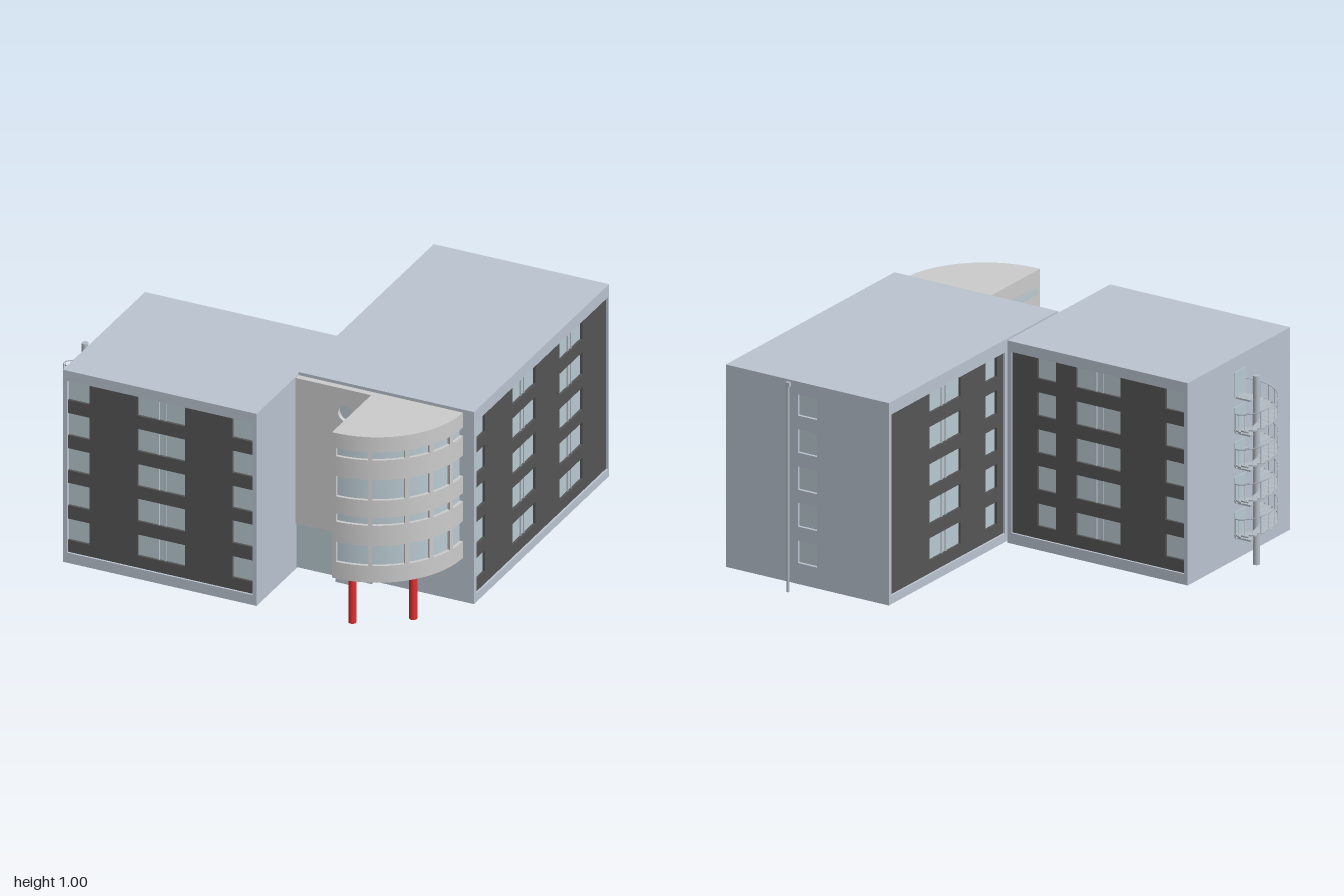
import * as THREE from 'three';
import { mergeGeometries, toCreasedNormals } from 'three/addons/utils/BufferGeometryUtils.js';

const mat = (color, side = THREE.FrontSide) => new THREE.MeshStandardMaterial({ color, side });
const WALL = mat(0xbac4d0), CONCRETE = mat(0xcccccc), DARK = mat(0x555555),
  GLASS = mat(0xb9cad2), RED = mat(0xe03030), STEEL = mat(0xb4bcc4, THREE.DoubleSide);

// Window rows shared by all long facades: [bottom, top]
const ROWS = [[0.144, 0.25], [0.316, 0.428], [0.49, 0.6], [0.665, 0.775], [0.84, 0.94]];
const PANEL_Y = [0.085, 0.94];

function add(parent, name, geometry, material) {
  const mesh = new THREE.Mesh(geometry, material);
  mesh.name = name;
  parent.add(mesh);
  return mesh;
}

// Box given by its limits on each axis
function boxGeo(x0, x1, y0, y1, z0, z1) {
  return new THREE.BoxGeometry(x1 - x0, y1 - y0, z1 - z0)
    .translate((x0 + x1) / 2, (y0 + y1) / 2, (z0 + z1) / 2);
}

function rectPath(Type, x0, x1, y0, y1) {
  return new Type([[x0, y0], [x1, y0], [x1, y1], [x0, y1]].map(p => new THREE.Vector2(...p)));
}

// Upright slab with holes; its outer face lies on z = 0
function slabGeo(x0, x1, y0, y1, depth, holes) {
  const shape = rectPath(THREE.Shape, x0, x1, y0, y1);
  shape.holes.push(...holes);
  return new THREE.ExtrudeGeometry(shape, { depth, bevelEnabled: false, curveSegments: 16 })
    .translate(0, 0, -depth);
}

// Recessed dark facade with a rim, bands, piers, glass and mullions, facing local +z
function facade(name, outer, yRange, panel, windows) {
  const g = new THREE.Group();
  g.name = name;
  const [p0, p1] = panel;
  add(g, 'facadeRim', slabGeo(...outer, ...yRange, 0.025, [rectPath(THREE.Path, p0, p1, ...PANEL_Y)]), WALL);
  add(g, 'glazing', boxGeo(p0, p1, ...PANEL_Y, -0.03, -0.022), GLASS);
  const dark = [], mullions = [];
  let below = PANEL_Y[0];
  for (const [y0, y1] of ROWS) {
    dark.push(boxGeo(p0, p1, below, y0, -0.025, -0.01));
    below = y1;
    let u = p0;
    for (const [w0, w1] of windows) {
      if (w0 - u > 0.001) dark.push(boxGeo(u, w0, y0, y1, -0.025, -0.01));
      u = w1;
      const mid = (w0 + w1) / 2;
      if (w1 - w0 > 0.15) for (const s of [-0.016, 0.016])
        mullions.push(boxGeo(mid + s - 0.003, mid + s + 0.003, y0, y1, -0.025, -0.016));
    }
    if (p1 - u > 0.001) dark.push(boxGeo(u, p1, y0, y1, -0.025, -0.01));
  }
  add(g, 'darkCladding', mergeGeometries(dark), DARK);
  add(g, 'mullions', mergeGeometries(mullions), WALL);
  return g;
}

function placed(parent, group, x, z, turn) {
  group.position.set(x, 0, z);
  group.rotation.y = turn;
  parent.add(group);
}

function sideWing() {
  const g = new THREE.Group();
  g.name = 'sideWing';
  const y = [0.035, 0.99];
  add(g, 'wingBody', boxGeo(-0.81, 0.14, ...y, 0.095, 0.865), WALL);
  placed(g, facade('wingFrontFacade', [-0.81, 0.14], y, [-0.79, 0.12],
    [[-0.79, -0.685], [-0.45, -0.215], [0.015, 0.12]]), 0, 0.89, 0);
  placed(g, facade('wingBackFacade', [-0.14, 0.81], y, [-0.12, 0.79],
    [[0.01, 0.11], [0.215, 0.45], [0.685, 0.79]]), 0, 0.07, Math.PI);
  return g;
}

function mainWing() {
  const g = new THREE.Group();
  g.name = 'mainWing';
  const y = [0.045, 1];
  add(g, 'mainBody', boxGeo(0.165, 0.975, ...y, -0.86, 0.47), WALL);
  placed(g, facade('outerFacade', [-0.47, 0.88], y, [-0.445, 0.87],
    [[-0.445, -0.34], [-0.065, 0.165], [0.405, 0.635]]), 1, 0, Math.PI / 2);
  placed(g, facade('courtFacade', [-0.88, 0.47], y, [-0.86, 0.05],
    [[-0.54, -0.29], [-0.09, 0.0]]), 0.14, 0, -Math.PI / 2);
  // Back wall with one column of windows and a rain pipe
  const back = new THREE.Group();
  back.name = 'backWall';
  add(back, 'backSlab', slabGeo(-0.975, -0.165, ...y, 0.02,
    ROWS.map(r => rectPath(THREE.Path, -0.62, -0.52, ...r))), WALL);
  for (const [y0, y1] of ROWS) add(back, 'backWindow', boxGeo(-0.62, -0.52, y0, y1, -0.022, -0.014), GLASS);
  placed(g, back, 0, -0.88, Math.PI);
  add(g, 'rainPipe', new THREE.CylinderGeometry(0.006, 0.006, 0.98, 10), STEEL).position.set(0.667, 0.49, -0.887);
  add(g, 'pipeHead', boxGeo(0.657, 0.677, 0.97, 0.99, -0.895, -0.88), STEEL);
  return g;
}

function entrance() {
  const g = new THREE.Group();
  g.name = 'entrance';
  const holes = [0.39, 0.548, 0.705, 0.863].map(y => new THREE.Path().absarc(0.388, y, 0.04, 0, Math.PI * 2));
  add(g, 'concreteWall', slabGeo(0.14, 0.51, 0.262, 0.985, 0.03, holes), CONCRETE).position.z = 0.5;
  add(g, 'roundGlazing', boxGeo(0.34, 0.436, 0.34, 0.91, 0.465, 0.48), GLASS);
  add(g, 'lobbyGlass', boxGeo(0.14, 0.51, 0.04, 0.262, 0.465, 0.49), GLASS);
  for (const x of [0.393, 0.408]) add(g, 'doorPost', boxGeo(x, x + 0.009, 0.045, 0.262, 0.48, 0.498), STEEL);
  add(g, 'doorStep', boxGeo(0.34, 0.42, 0.022, 0.042, 0.475, 0.51), WALL);
  return g;
}

// Slice of the rounded tower between two angles (0 = +x, 90 degrees = +z)
function sectorGeo(r, y0, y1, a0, a1, rInner = 0) {
  const cx = 0.525, cz = 0.47, n = Math.max(2, Math.round((a1 - a0) * 20));
  const arc = rad => Array.from({ length: n + 1 }, (_, i) => {
    const a = a0 + (a1 - a0) * i / n;
    return new THREE.Vector2(cx + rad * Math.cos(a), -cz - rad * Math.sin(a));
  });
  const pts = arc(r);
  if (rInner) pts.push(...arc(rInner).reverse());
  else pts.push(new THREE.Vector2(0.51, -cz - r), new THREE.Vector2(0.51, -cz));
  const geo = new THREE.ExtrudeGeometry(new THREE.Shape(pts), { depth: y1 - y0, bevelEnabled: false });
  return toCreasedNormals(geo.rotateX(-Math.PI / 2).translate(0, y0, 0), 0.5);
}

function roundTower() {
  const g = new THREE.Group();
  g.name = 'roundTower';
  const R = 0.42, Q = Math.PI / 2, deg = Math.PI / 180;
  const bands = [[0.345, 0.445], [0.545, 0.585], [0.67, 0.772], [0.87, 0.91]];
  let below = 0.262;
  for (const [y0, y1] of bands) {
    add(g, 'concreteBand', sectorGeo(R, below, y0, 0, Q), CONCRETE);
    add(g, 'curvedGlass', sectorGeo(R - 0.015, y0, y1, 0, Q), GLASS);
    for (const a of [12.5, 29, 45.5, 68])
      add(g, 'towerMullion', sectorGeo(R, y0, y1, (a - 1.4) * deg, (a + 1.4) * deg, R - 0.02), CONCRETE);
    add(g, 'towerEdge', boxGeo(0.51, 0.53, y0, y1, 0.47, 0.47 + R), CONCRETE);
    below = y1;
  }
  add(g, 'concreteBand', sectorGeo(R, below, 0.985, 0, Q), CONCRETE);
  for (const [x, z] of [[0.59, 0.85], [0.815, 0.7]])
    add(g, 'redColumn', new THREE.CylinderGeometry(0.018, 0.018, 0.225, 20), RED).position.set(x, 0.153, z);
  return g;
}

function spiralStair() {
  const g = new THREE.Group();
  g.name = 'spiralStair';
  g.position.set(-0.9, 0, 0.485);
  const R = 0.098, START = 0.14, PITCH = 0.165, TURNS = 4, PER = 16, step = Math.PI * 2 / PER;
  add(g, 'stairPole', new THREE.CylinderGeometry(0.016, 0.016, 0.89, 16), STEEL).position.y = 0.467;
  const treads = [], posts = [], rail = [];
  for (let i = 0; i <= TURNS * PER; i++) {
    const a = Math.PI / 2 + i * step, y = START + PITCH * i / PER;
    const x = Math.sin(a) * (R - 0.003), z = Math.cos(a) * (R - 0.003);
    treads.push(new THREE.CylinderGeometry(R, R, 0.007, 2, 1, false, a - step / 2, step).translate(0, y, 0));
    if (i % PER) posts.push(new THREE.CylinderGeometry(0.0015, 0.0015, 0.08, 5).translate(x, y + 0.04, z));
    rail.push(new THREE.Vector3(x, y + 0.08, z));
  }
  add(g, 'treads', mergeGeometries(treads), STEEL);
  add(g, 'balusters', mergeGeometries(posts), STEEL);
  // Handrail, broken at each landing
  for (let t = 0; t < TURNS; t++) {
    const curve = new THREE.CatmullRomCurve3(rail.slice(t * PER + 1, (t + 1) * PER));
    add(g, 'handrail', new THREE.TubeGeometry(curve, 40, 0.0025, 5), STEEL);
  }
  // Landings and doors on the end wall
  for (let t = 0; t <= TURNS; t++) {
    const y = START + PITCH * t;
    add(g, 'landing', boxGeo(0.01, 0.092, y - 0.005, y + 0.003, -0.035, 0.035), STEEL);
    add(g, 'exitDoor', boxGeo(0.086, 0.095, y, y + 0.12, -0.045, 0.045), GLASS);
  }
  return g;
}

export function createModel() {
  const model = new THREE.Group();
  model.name = 'building';
  model.add(sideWing(), mainWing(), entrance(), roundTower(), spiralStair());
  return model;
}
